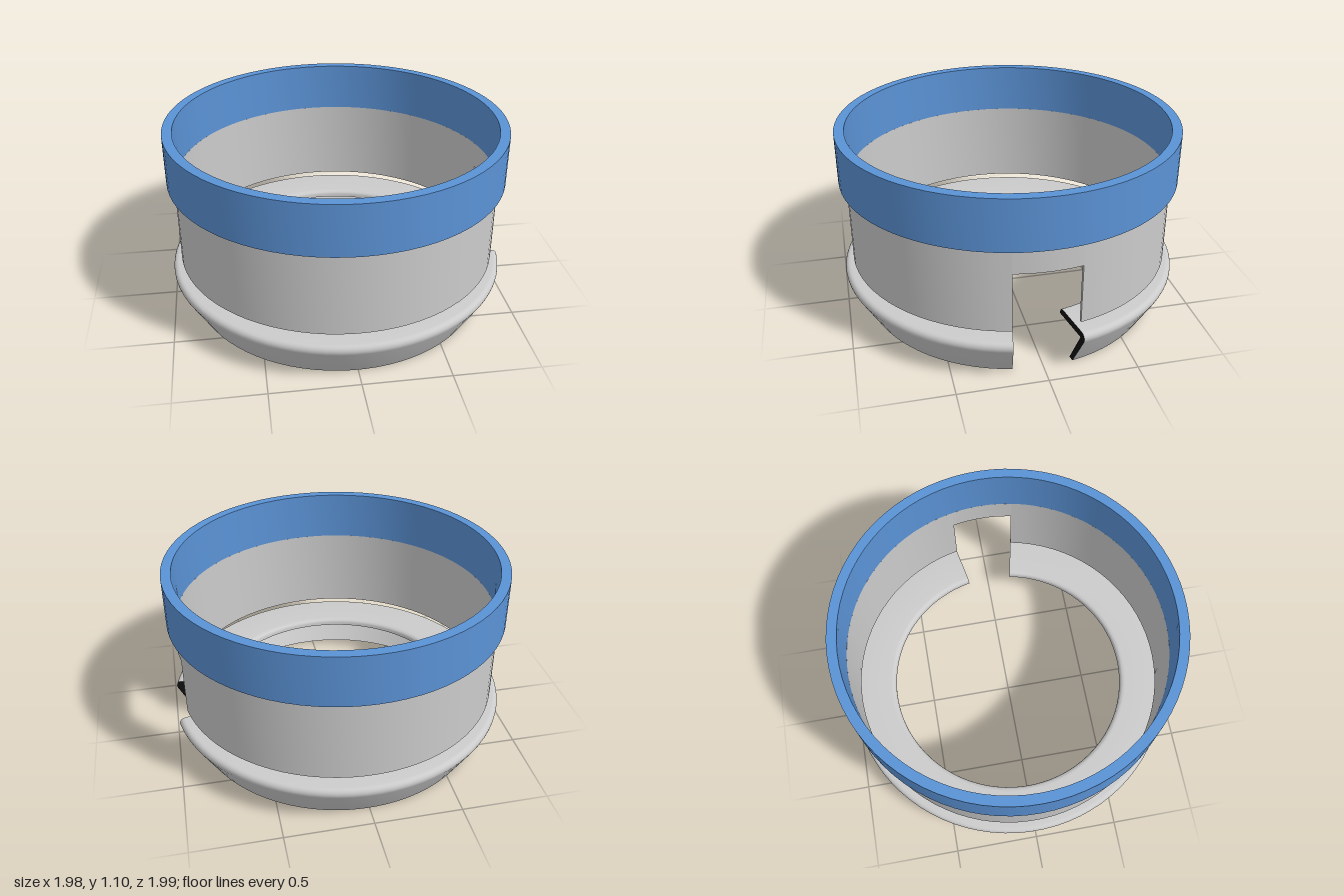
import * as THREE from 'three';
import { toCreasedNormals } from 'three/addons/utils/BufferGeometryUtils.js';

const grey = new THREE.MeshStandardMaterial({ color: 0xcccccc });
const greyEnds = new THREE.MeshStandardMaterial({ color: 0xcccccc, side: THREE.DoubleSide });
const blue = new THREE.MeshStandardMaterial({ color: 0x5b93d6 });
const black = new THREE.MeshStandardMaterial({ color: 0x111111, side: THREE.DoubleSide });

// Closed (radius, height) outline swept from angle a0 to a1, measured from +x towards -z
function sweep(name, outline, a0, a1, material, endMaterial) {
  const part = new THREE.Group();
  part.name = name;
  const segments = Math.max(4, Math.round((a1 - a0) / (Math.PI * 2) * 80));
  const lathe = new THREE.LatheGeometry([...outline, outline[0].clone()], segments, Math.PI / 2 + a0, a1 - a0);
  const body = new THREE.Mesh(toCreasedNormals(lathe, 0.5), material);
  body.name = name + 'Body';
  part.add(body);
  if (endMaterial) {
    for (const angle of [a0, a1]) {
      const end = new THREE.Mesh(new THREE.ShapeGeometry(new THREE.Shape(outline)), endMaterial);
      end.name = name + 'End';
      end.rotation.y = angle;
      part.add(end);
    }
  }
  return part;
}

const rect = (r0, r1, y0, y1) =>
  [[r0, y0], [r1, y0], [r1, y1], [r0, y1]].map(([r, y]) => new THREE.Vector2(r, y));

export function createModel() {
  const model = new THREE.Group();
  model.name = 'slottedCollar';
  const full = Math.PI * 2;

  // Upper band
  model.add(sweep('upperBand', rect(0.93, 0.987, 0.8, 1.095), 0, full, blue));

  // Thin wall with a window cut from its lower edge on the +x side
  const slot = Math.asin(0.185 / 0.942);
  model.add(sweep('wall', rect(0.93, 0.945, 0.3, 0.8), slot, full - slot, grey, greyEnds));
  model.add(sweep('wallBridge', rect(0.93, 0.945, 0.65, 0.8), -slot, slot, grey));

  // Split base ring: flat flange with a rounded rim and a skirt tapering inward
  const profile = new THREE.Shape();
  profile.moveTo(0.845, 0);
  profile.lineTo(0.88, 0);
  profile.lineTo(0.991, 0.197);
  profile.bezierCurveTo(1.005, 0.222, 0.992, 0.25, 0.965, 0.25);
  profile.lineTo(0.75, 0.25);
  profile.quadraticCurveTo(0.72, 0.25, 0.718, 0.222);
  profile.lineTo(0.718, 0.21);
  profile.lineTo(0.955, 0.21);
  const outline = profile.getPoints(7);
  const gap = 0.193;
  model.add(sweep('baseRing', outline, gap, full - gap, grey, black));

  model.position.x = 0.003;
  return model;
}
